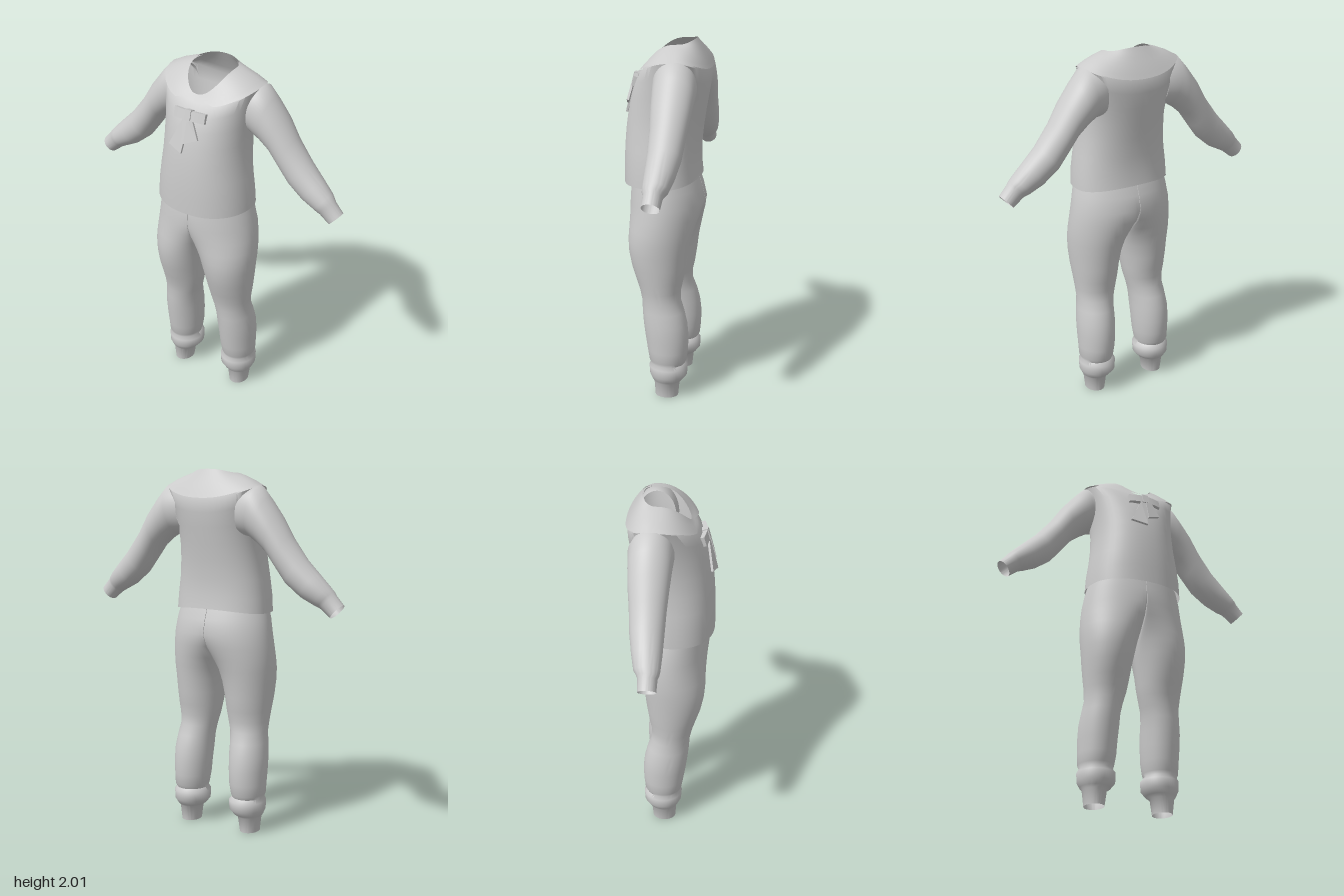
import * as THREE from 'three';
import { toCreasedNormals } from 'three/addons/utils/BufferGeometryUtils.js';

const SEG = 48;
const cloth = new THREE.MeshStandardMaterial({ color: 0xcccccc, side: THREE.DoubleSide });
const lerp = THREE.MathUtils.lerp;
const soft = (v, e) => Math.sign(v) * Math.abs(v) ** e;

// Skin a tube through rows; point(row, t) gives [x, y, z] at angle t.
function loft(name, rows, point, crease = 0.9) {
  const pos = [], idx = [];
  rows.forEach((row, i) => {
    for (let j = 0; j < SEG; j++) {
      pos.push(...point(row, (j / SEG) * Math.PI * 2));
      if (i === rows.length - 1) continue;
      const a = i * SEG + j, b = i * SEG + ((j + 1) % SEG);
      idx.push(a, b, a + SEG, b, b + SEG, a + SEG);
    }
  });
  const g = new THREE.BufferGeometry();
  g.setAttribute('position', new THREE.Float32BufferAttribute(pos, 3));
  g.setIndex(idx);
  return named(name, toCreasedNormals(g, crease));
}

function named(name, geometry) {
  const m = new THREE.Mesh(geometry, cloth);
  m.name = name;
  return m;
}

// Tilted body ring: half width, z front / widest / back, y front / side / back
function bodyPoint([w, zf, zc, zb, yf, ym, yb], t) {
  const c = Math.cos(t), s = Math.sin(t), k = soft(c, 0.9);
  const z = c > 0 ? lerp(zc, zf, k) : lerp(zc, zb, -k);
  const y = lerp(ym, c > 0 ? yf : yb, c * c);
  return [w * soft(s, 0.9), y, z];
}
const NECK = [0.125, 0.1, -0.07, -0.145, 1.865, 1.98, 2.0];
const COLLAR = [0.28, 0.145, -0.09, -0.23, 1.82, 1.915, 1.85];
const TORSO = [
  [0.275, 0.235, 0.0, -0.185, 1.225, 1.235, 1.26],
  [0.27, 0.236, 0.0, -0.177, 1.32, 1.32, 1.33],
  [0.255, 0.233, 0.0, -0.177, 1.42, 1.42, 1.42],
  [0.242, 0.226, -0.01, -0.187, 1.52, 1.52, 1.52],
  [0.237, 0.214, -0.02, -0.2, 1.61, 1.62, 1.61],
  [0.243, 0.195, -0.04, -0.215, 1.7, 1.72, 1.7],
  [0.26, 0.172, -0.07, -0.227, 1.77, 1.83, 1.78],
  COLLAR,
  [0.225, 0.13, -0.085, -0.205, 1.838, 1.945, 1.9],
  [0.17, 0.113, -0.075, -0.173, 1.853, 1.967, 1.955],
  NECK,
];

// Leg rows going down: y, outer x, inner x, z front, z back, share of joined hip shape
const LEG = [
  [1.27, 0.262, 0, 0.19, -0.165, 1],
  [1.2, 0.28, 0, 0.2, -0.19, 1],
  [1.12, 0.293, 0, 0.205, -0.208, 1],
  [1.05, 0.301, 0, 0.205, -0.2, 0.85],
  [0.98, 0.305, 0, 0.202, -0.18, 0.55],
  [0.92, 0.305, 0.004, 0.197, -0.16, 0.25],
  [0.85, 0.3, 0.013, 0.187, -0.142, 0.08],
  [0.77, 0.293, 0.025, 0.168, -0.13, 0],
  [0.69, 0.284, 0.036, 0.142, -0.118, 0],
  [0.63, 0.277, 0.046, 0.123, -0.105, 0],
  [0.57, 0.272, 0.062, 0.11, -0.106, 0],
  [0.51, 0.279, 0.073, 0.106, -0.128, 0],
  [0.44, 0.288, 0.075, 0.099, -0.146, 0],
  [0.36, 0.289, 0.08, 0.088, -0.155, 0],
  [0.28, 0.286, 0.084, 0.076, -0.152, 0],
  [0.22, 0.284, 0.094, 0.065, -0.145, 0],
  [0.2, 0.276, 0.1, 0.056, -0.135, 0],
  [0.18, 0.288, 0.083, 0.067, -0.151, 0],
  [0.13, 0.286, 0.085, 0.063, -0.148, 0],
  [0.1, 0.272, 0.11, 0.047, -0.125, 0],
  [0.085, 0.261, 0.132, 0.036, -0.108, 0],
  [0, 0.25, 0.145, 0.03, -0.1, 0],
].reverse();

function legPoint([y, out, inn, zf, zb, joined], t) {
  const x = (out + inn) / 2 + ((out - inn) / 2) * Math.sin(t), c = Math.cos(t);
  const hip = Math.sign(c) * Math.sqrt(Math.max(0, 1 - (x / out) ** 2));
  const k = lerp(c, Math.abs(c) < 1e-6 ? 0 : hip, joined);
  return [x, y, (zf + zb) / 2 + ((zf - zb) / 2) * k];
}

// Sleeve rows: top x, y, bottom x, y, z centre, z radius
const SLEEVE = [
  [0.2, 1.92, 0.18, 1.66, -0.09, 0.1],
  [0.285, 1.922, 0.235, 1.655, -0.09, 0.118],
  [0.34, 1.86, 0.29, 1.62, -0.093, 0.112],
  [0.41, 1.77, 0.345, 1.575, -0.095, 0.105],
  [0.475, 1.665, 0.4, 1.5, -0.095, 0.095],
  [0.565, 1.55, 0.46, 1.42, -0.095, 0.088],
  [0.64, 1.475, 0.545, 1.352, -0.09, 0.078],
  [0.7, 1.413, 0.62, 1.315, -0.085, 0.067],
  [0.72, 1.39, 0.642, 1.304, -0.08, 0.057],
  [0.73, 1.375, 0.655, 1.297, -0.08, 0.05],
  [0.775, 1.325, 0.71, 1.255, -0.08, 0.047],
];
function sleevePoint([tx, ty, bx, by, zc, r], t) {
  const k = (1 + Math.cos(t)) / 2;
  return [lerp(bx, tx, k), lerp(by, ty, k), zc + r * Math.sin(t)];
}

// Flat collar lying just over the shoulders, notched at the front
function collarPoint(f, t) {
  const from = Math.min(t, Math.PI * 2 - t);
  const notch = Math.max(0, 1 - from / 0.4);
  const reach = f * (1 - 0.85 * notch);
  const i = reach * 3, k = Math.min(2, Math.floor(i)), last = TORSO.length - 1;
  const a = bodyPoint(TORSO[last - k], t), b = bodyPoint(TORSO[last - k - 1], t);
  const p = a.map((v, n) => lerp(v, b[n], i - k));
  const lift = f < 0 ? 0 : 0.007;
  return [p[0] * 1.01, p[1] + lift, p[2] + lift * Math.cos(t)];
}

// Bend a part back so it follows the chest
function wrap(g) {
  const p = g.attributes.position;
  for (let i = 0; i < p.count; i++) p.setZ(i, p.getZ(i) - 1.6 * p.getX(i) ** 2);
  g.computeVertexNormals();
  return g;
}

function ribbon(name, points) {
  const shape = new THREE.Shape(points.map(([x, y]) => new THREE.Vector2(x, y)));
  return named(name, wrap(new THREE.ExtrudeGeometry(shape, { depth: 0.012, bevelEnabled: false })));
}

function createBow() {
  const bow = new THREE.Group();
  bow.name = 'bow';
  const band = named('bowLoops', wrap(new THREE.BoxGeometry(0.19, 0.052, 0.024, 12, 1, 1)));
  const knot = named('bowKnot', new THREE.BoxGeometry(0.036, 0.06, 0.034));
  const longTail = ribbon('longTail', [[-0.03, -0.025], [-0.1, -0.175], [-0.01, -0.205], [0.012, -0.025]]);
  const shortTail = ribbon('shortTail', [[0, -0.025], [0.0, -0.15], [0.075, -0.115], [0.035, -0.025]]);
  shortTail.position.z = 0.004;
  bow.add(band, knot, longTail, shortTail);
  bow.position.set(0, 1.782, 0.178);
  bow.rotation.x = -0.27;
  return bow;
}

export function createModel() {
  const model = new THREE.Group();
  model.name = 'outfit';
  model.add(loft('shirt', TORSO, bodyPoint));
  model.add(loft('collar', [1, 0.85, 0.667, 0.5, 0.333, 0.15, 0], collarPoint));
  model.add(createBow());

  // Sleeves and trouser legs, mirrored
  for (const [side, s] of [['left', 1], ['right', -1]]) {
    const sleeve = loft(side + 'Sleeve', SLEEVE, sleevePoint);
    const leg = loft(side + 'TrouserLeg', LEG, legPoint, 1.0);
    sleeve.scale.x = leg.scale.x = s;
    model.add(sleeve, leg);
  }
  return model;
}
